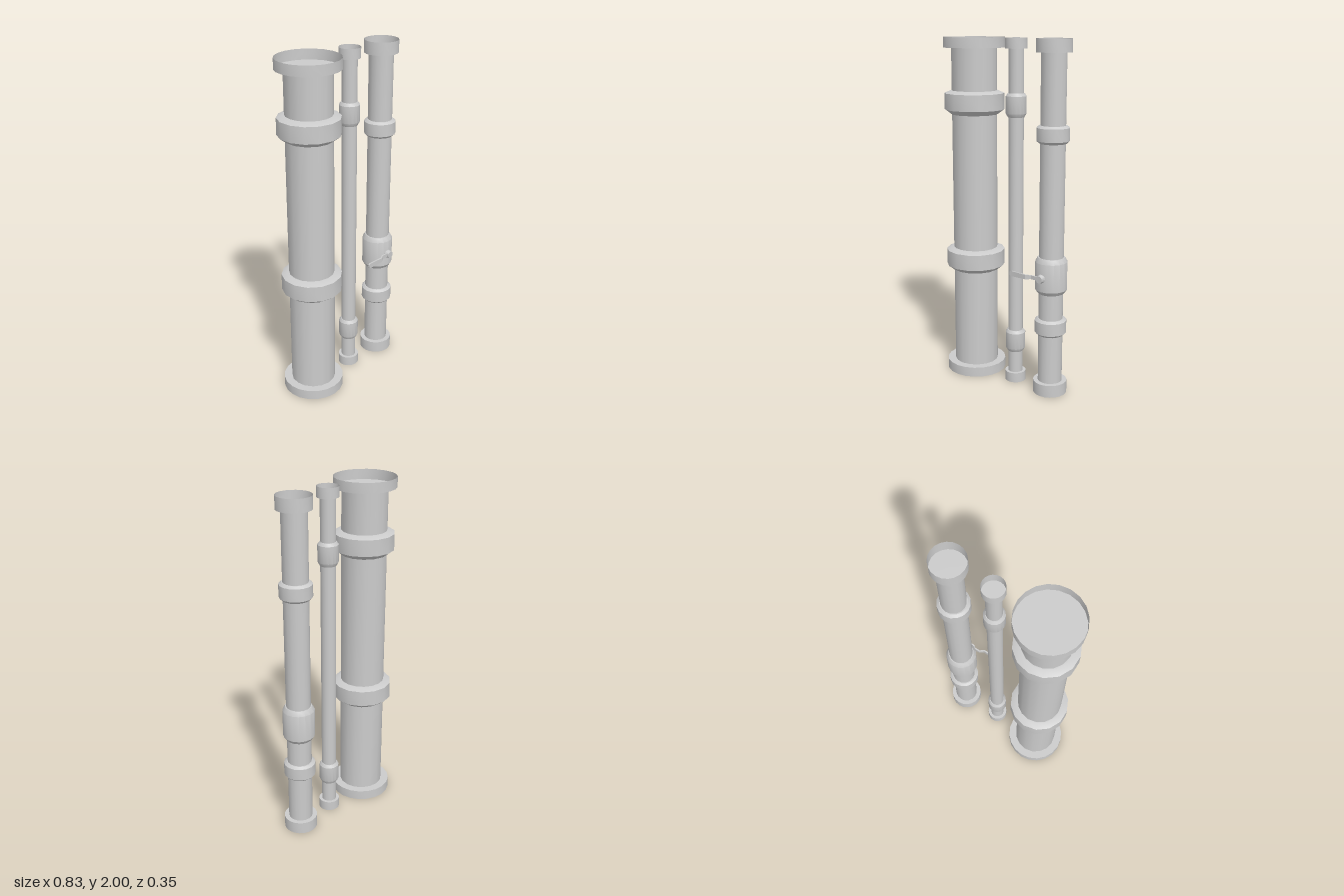
import * as THREE from 'three';
import { toCreasedNormals } from 'three/addons/utils/BufferGeometryUtils.js';

const material = new THREE.MeshStandardMaterial({ color: 0xcccccc });
const thin = new THREE.MeshStandardMaterial({ color: 0xcccccc, side: THREE.DoubleSide });

function add(parent, name, geometry, mat = material) {
  const mesh = new THREE.Mesh(toCreasedNormals(geometry, 0.56), mat);
  mesh.name = name;
  parent.add(mesh);
  return mesh;
}

function lathe(points, sides) {
  return new THREE.LatheGeometry(points.map(([r, y]) => new THREE.Vector2(r, y)), sides);
}

// Vertical pipe with open cup flanges at both ends and bevelled collars
function makePipe({ name, x, z, radius, flange, lip, collars }) {
  const pipe = new THREE.Group();
  pipe.name = name;
  pipe.position.set(x, 0, z);

  const tube = new THREE.CylinderGeometry(radius, radius, 2 - 2 * lip, 16, 1, true);
  add(pipe, 'tube', tube.translate(0, 1, 0));

  // Each cup is a thin rim closed by a recessed disc
  add(pipe, 'bottomFlange', lathe([[flange, 0], [flange, lip], [0, lip]], 20), thin);
  add(pipe, 'topFlange', lathe([[0, 2 - lip], [flange, 2 - lip], [flange, 2]], 20), thin);

  for (const { part = 'collar', r, inner, bottom, top, low, high, sides = 14 } of collars) {
    add(pipe, part, lathe([
      [radius * 0.98, bottom], [inner, bottom], [r, bottom + low],
      [r, top - high], [inner, top], [radius * 0.98, top],
    ], sides));
  }
  return pipe;
}

// Flat cranked lever: a box whose columns follow stations along its length
function leverGeometry() {
  // x, centre z, half height
  const stations = [
    [0.117, 0.113, 0.006], [0.121, 0.113, 0.012], [0.13, 0.113, 0.015],
    [0.229, 0.113, 0.013], [0.256, 0.095, 0.011], [0.32, 0.095, 0.011],
  ];
  const n = stations.length - 1;
  const geometry = new THREE.BoxGeometry(1, 2, 0.009, n, 1, 1);
  const p = geometry.attributes.position;
  for (let i = 0; i < p.count; i++) {
    const [x, z, half] = stations[Math.round((p.getX(i) + 0.5) * n)];
    p.setXYZ(i, x, p.getY(i) * half, p.getZ(i) + z);
  }
  return geometry;
}

export function createModel() {
  const model = new THREE.Group();
  model.name = 'pipeSet';

  const wide = { r: 0.173, inner: 0.137, low: 0.027, high: 0.015 };
  model.add(makePipe({
    name: 'widePipe', x: -0.24, z: -0.001, radius: 0.13, flange: 0.177, lip: 0.058,
    collars: [
      { ...wide, bottom: 0.64, top: 0.775 },
      { ...wide, bottom: 1.567, top: 1.702 },
    ],
  }));

  const slim = { r: 0.058, inner: 0.047, low: 0.02, high: 0.016, sides: 16 };
  model.add(makePipe({
    name: 'slimPipe', x: 0.066, z: -0.003, radius: 0.043, flange: 0.061, lip: 0.058,
    collars: [
      { ...slim, bottom: 0.187, top: 0.319 },
      { ...slim, bottom: 1.57, top: 1.702 },
    ],
  }));

  const medium = { r: 0.091, inner: 0.076, low: 0.014, high: 0.012, sides: 16 };
  model.add(makePipe({
    name: 'valvePipe', x: 0.32, z: -0.004, radius: 0.07, flange: 0.097, lip: 0.072,
    collars: [
      { ...medium, bottom: 0.355, top: 0.452 },
      { ...medium, part: 'valveBody', bottom: 0.603, top: 0.811, low: 0.022, high: 0.025 },
      { ...medium, bottom: 1.448, top: 1.545 },
    ],
  }));

  // Valve handle in front of the valve body
  const handle = new THREE.Group();
  handle.name = 'valveHandle';
  handle.position.y = 0.703;
  add(handle, 'lever', leverGeometry());
  const knob = new THREE.CylinderGeometry(0.021, 0.026, 0.035, 16);
  add(handle, 'pivotKnob', knob.rotateX(Math.PI / 2).translate(0.317, 0, 0.0915));
  model.add(handle);

  return model;
}
